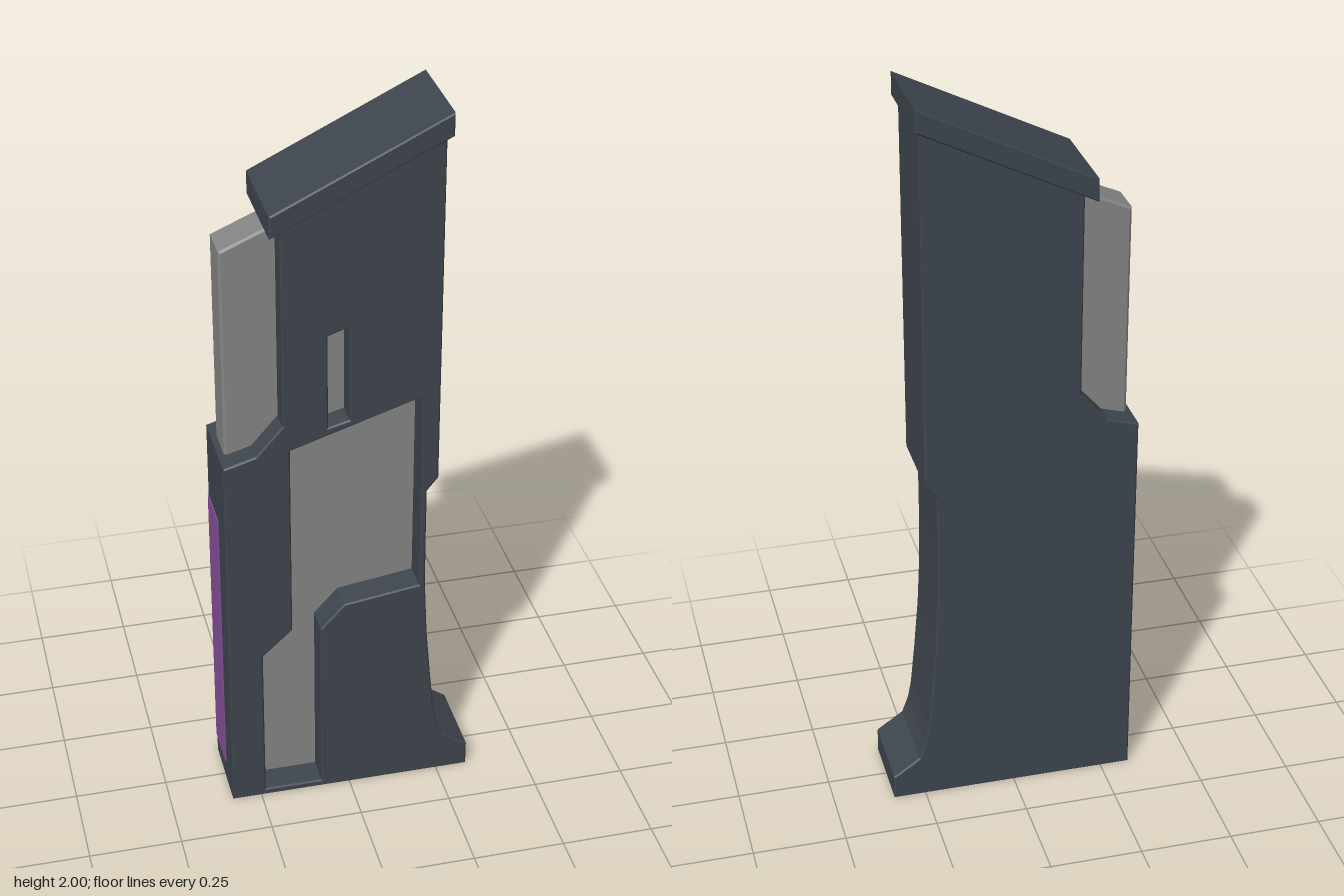
import * as THREE from 'three';

const material = (name, color) => {
  const m = new THREE.MeshStandardMaterial({ color });
  m.name = name;
  return m;
};

const toPoints = (pts) => pts.map(([x, y]) => new THREE.Vector2(x, y));

// Extrude a side profile between two depths, with a small chamfer inside the outline
function slab(name, pts, z0, z1, mat, { holes = [], bevel = 0.004 } = {}) {
  const shape = new THREE.Shape(toPoints(pts));
  holes.forEach((h) => shape.holes.push(new THREE.Path(toPoints(h))));
  const geo = new THREE.ExtrudeGeometry(shape, {
    depth: z1 - z0 - 2 * bevel,
    bevelEnabled: bevel > 0,
    bevelThickness: bevel,
    bevelSize: bevel,
    bevelOffset: -bevel,
    bevelSegments: 1,
  });
  geo.translate(0, 0, z0 + bevel);
  const mesh = new THREE.Mesh(geo, mat);
  mesh.name = name;
  return mesh;
}

export function createModel() {
  const group = new THREE.Group();
  group.name = 'gripCasing';
  const dark = material('darkSlate', 0x3e454d);
  const grey = material('midGrey', 0x848484);
  const purple = material('purple', 0x86509a);

  // Casing outline, flared at the foot and stepped near the middle
  const casing = [
    [-0.33, 0], [0.337, 0], [0.337, 0.07], [0.265, 0.12], [0.247, 0.17],
    [0.238, 0.22], [0.226, 0.34], [0.214, 0.48], [0.207, 0.62], [0.205, 0.75],
    [0.205, 0.935], [0.235, 0.972], [0.235, 1.95], [-0.175, 1.75],
    [-0.175, 1.185], [-0.245, 1.105], [-0.33, 1.08],
  ];
  // Recesses in the front face
  const channel = [
    [-0.238, 0.02], [-0.08, 0.02], [-0.08, 0.54], [-0.015, 0.61], [0.19, 0.64],
    [0.19, 1.222], [-0.157, 1.11], [-0.157, 0.55], [-0.238, 0.475],
  ];
  const slot = [[-0.058, 1.165], [-0.002, 1.18], [-0.002, 1.447], [-0.058, 1.428]];

  group.add(slab('casingBack', casing, -0.115, 0.03, dark));
  group.add(slab('casingFront', casing, 0, 0.115, dark, { holes: [channel, slot] }));
  group.add(slab('channelFloor', channel, 0.02, 0.035, grey, { bevel: 0 }));
  group.add(slab('slotFloor', slot, 0.02, 0.05, grey, { bevel: 0 }));

  // Sloping end cap
  const cap = [[-0.205, 1.72], [0.247, 1.94], [0.247, 2], [-0.205, 1.78]];
  group.add(slab('endCap', cap, -0.136, 0.136, dark));

  // Grey bar standing in the upper notch
  const bar = [[-0.315, 1.07], [-0.16, 1.07], [-0.16, 1.727], [-0.315, 1.66]];
  group.add(slab('sideBar', bar, -0.054, 0.054, grey, { bevel: 0.006 }));

  // Purple strip just off the side face
  const strip = new THREE.Mesh(new THREE.BoxGeometry(0.003, 0.8, 0.13), purple);
  strip.name = 'sideStrip';
  strip.position.set(-0.339, 0.495, 0);
  group.add(strip);

  return group;
}
